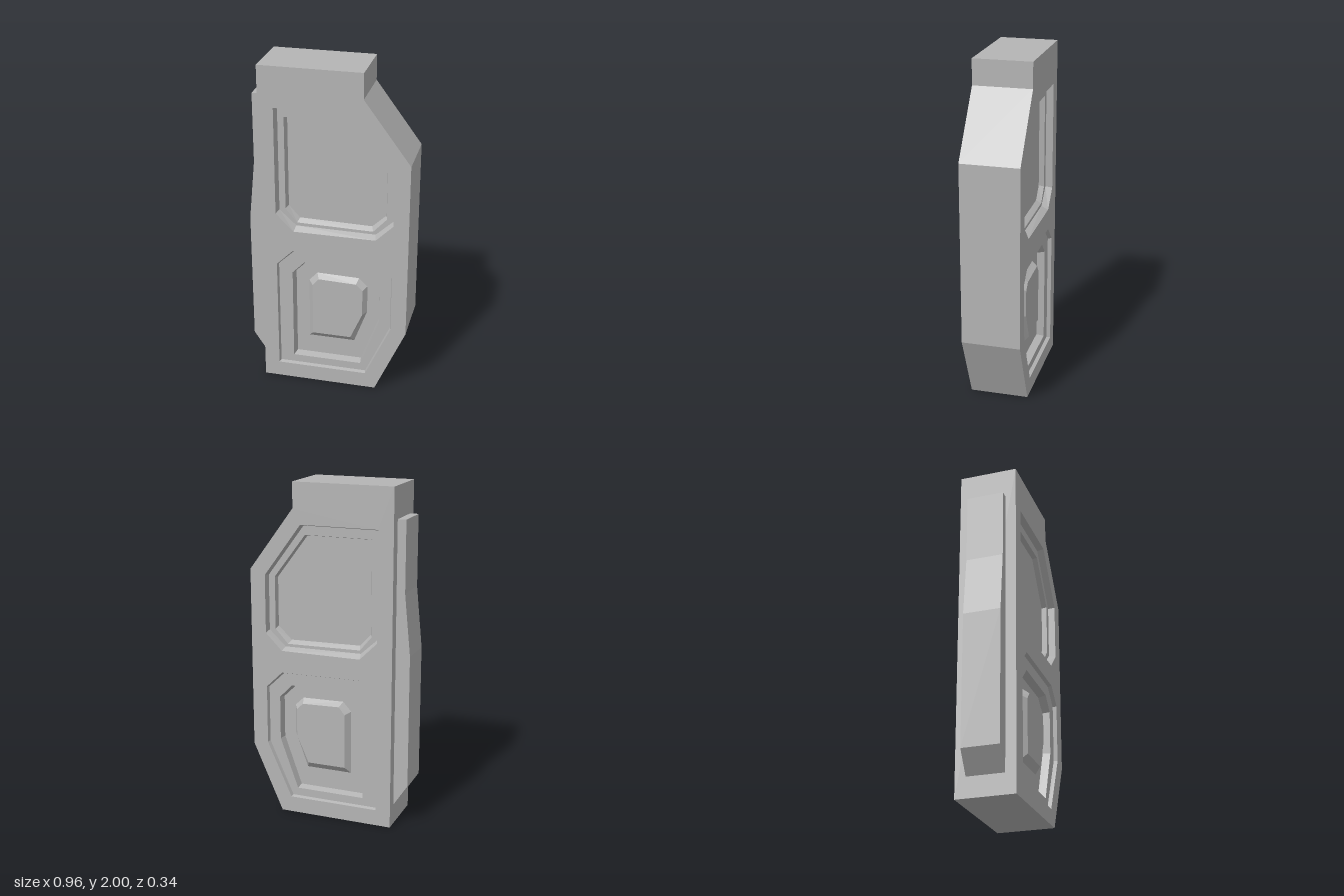
import * as THREE from 'three';
import { mergeGeometries } from 'three/addons/utils/BufferGeometryUtils.js';

const HALF = 0.172;

// All outlines run anticlockwise, seen from the front.
const body = [[-0.395, 0], [0.295, 0], [0.476, 0.41], [0.476, 1.485], [0.206, 1.85], [0.206, 2], [-0.395, 2]];
const strip = [[-0.48, 0.25], [-0.395, 0.12], [-0.395, 1.815], [-0.445, 1.815], [-0.445, 1.4], [-0.48, 1.04]];

const upperRim = [[-0.2, 1.01], [0.285, 1.01], [0.385, 1.11], [0.385, 1.455], [0.16, 1.76], [-0.305, 1.76], [-0.305, 1.115]];
const upperLedge = [[-0.193, 1.033], [0.277, 1.028], [0.378, 1.122], [0.378, 1.45], [0.156, 1.75], [-0.293, 1.75], [-0.293, 1.125]];
const upperInner = [[-0.187, 1.052], [0.262, 1.045], [0.34, 1.13], [0.34, 1.442], [0.148, 1.697], [-0.256, 1.697], [-0.256, 1.135]];
const upperFloor = [[-0.178, 1.072], [0.25, 1.064], [0.333, 1.142], [0.333, 1.436], [0.144, 1.69], [-0.244, 1.69], [-0.244, 1.145]];

const lowerRim = [[-0.305, 0.096], [0.235, 0.096], [0.385, 0.43], [0.385, 0.78], [0.285, 0.877], [-0.205, 0.884], [-0.305, 0.785]];
const lowerLedge = [[-0.298, 0.102], [0.231, 0.102], [0.378, 0.432], [0.378, 0.776], [0.281, 0.869], [-0.2, 0.876], [-0.298, 0.78]];
const lowerInner = [[-0.216, 0.15], [0.2, 0.15], [0.31, 0.455], [0.31, 0.718], [0.232, 0.797], [-0.142, 0.804], [-0.216, 0.727]];
const lowerFloor = [[-0.204, 0.16], [0.195, 0.16], [0.301, 0.457], [0.301, 0.711], [0.227, 0.784], [-0.137, 0.79], [-0.204, 0.72]];

const blockBase = [[-0.125, 0.28], [0.152, 0.28], [0.229, 0.492], [0.229, 0.665], [0.177, 0.715], [-0.075, 0.72], [-0.125, 0.665]];
const blockTop = [[-0.097, 0.32], [0.135, 0.32], [0.206, 0.485], [0.206, 0.65], [0.167, 0.688], [-0.06, 0.695], [-0.097, 0.65]];

const vec = (outline) => outline.map(([x, y]) => new THREE.Vector2(x, y));

// Flat face looking towards +z, with optional holes
function flat(outline, z, holes = []) {
  const shape = new THREE.Shape(vec(outline));
  holes.forEach((h) => shape.holes.push(new THREE.Path(vec(h))));
  const g = new THREE.ShapeGeometry(shape).toNonIndexed().translate(0, 0, z);
  g.deleteAttribute('uv');
  return g;
}

// Wall joining two outlines: faces outwards when a is nearer the front, inwards when b is
function wall(a, za, b, zb) {
  const p = [];
  a.forEach((a0, i) => {
    const j = (i + 1) % a.length;
    const A = [...a0, za], B = [...b[i], zb], C = [...b[j], zb], D = [...a[j], za];
    p.push(...A, ...B, ...C, ...A, ...C, ...D);
  });
  const g = new THREE.BufferGeometry();
  g.setAttribute('position', new THREE.Float32BufferAttribute(p, 3));
  g.computeVertexNormals();
  return g;
}

// Reflects a front geometry to the back, restoring the corner order
function toBack(geometry) {
  const g = geometry.clone();
  const p = g.attributes.position;
  for (let i = 0; i < p.count; i += 3) {
    const t = [0, 1, 2].map((k) => [p.getX(i + k), p.getY(i + k), -p.getZ(i + k)]);
    [t[0], t[2], t[1]].forEach((v, k) => p.setXYZ(i + k, ...v));
  }
  g.computeVertexNormals();
  return g;
}

export function createModel() {
  const group = new THREE.Group();
  const grey = new THREE.MeshStandardMaterial({ color: 0xb4b4b4 });
  grey.name = 'plain grey';
  const add = (name, geometry) => {
    const mesh = new THREE.Mesh(geometry, grey);
    mesh.name = name;
    group.add(mesh);
  };

  // Outer edge of the slab
  add('slabEdge', wall(body, HALF, body, -HALF));

  // Details repeated on the front and back
  const z1 = HALF - 0.04, z2 = HALF - 0.07;
  const y1 = HALF - 0.022, y2 = HALF - 0.067, y3 = HALF - 0.032;
  const details = {
    Face: [flat(body, HALF, [upperRim, lowerRim])],
    UpperRecess: [
      wall(upperLedge, z1, upperRim, HALF),
      flat(upperLedge, z1, [upperInner]),
      wall(upperFloor, z2, upperInner, z1),
      flat(upperFloor, z2),
    ],
    LowerRecess: [
      wall(lowerLedge, y1, lowerRim, HALF),
      flat(lowerLedge, y1, [lowerInner]),
      wall(lowerFloor, y2, lowerInner, y1),
      flat(lowerFloor, y2, [blockBase]),
    ],
    RaisedBlock: [wall(blockTop, y3, blockBase, y2), flat(blockTop, y3)],
  };
  for (const [name, parts] of Object.entries(details)) {
    const g = mergeGeometries(parts);
    add('front' + name, g);
    add('back' + name, toBack(g));
  }

  // Narrow strip along the right edge
  const stripGeometry = new THREE.ExtrudeGeometry(new THREE.Shape(vec(strip)), { depth: 0.22, bevelEnabled: false });
  add('sideStrip', stripGeometry.translate(0, 0, -0.11));

  return group;
}
